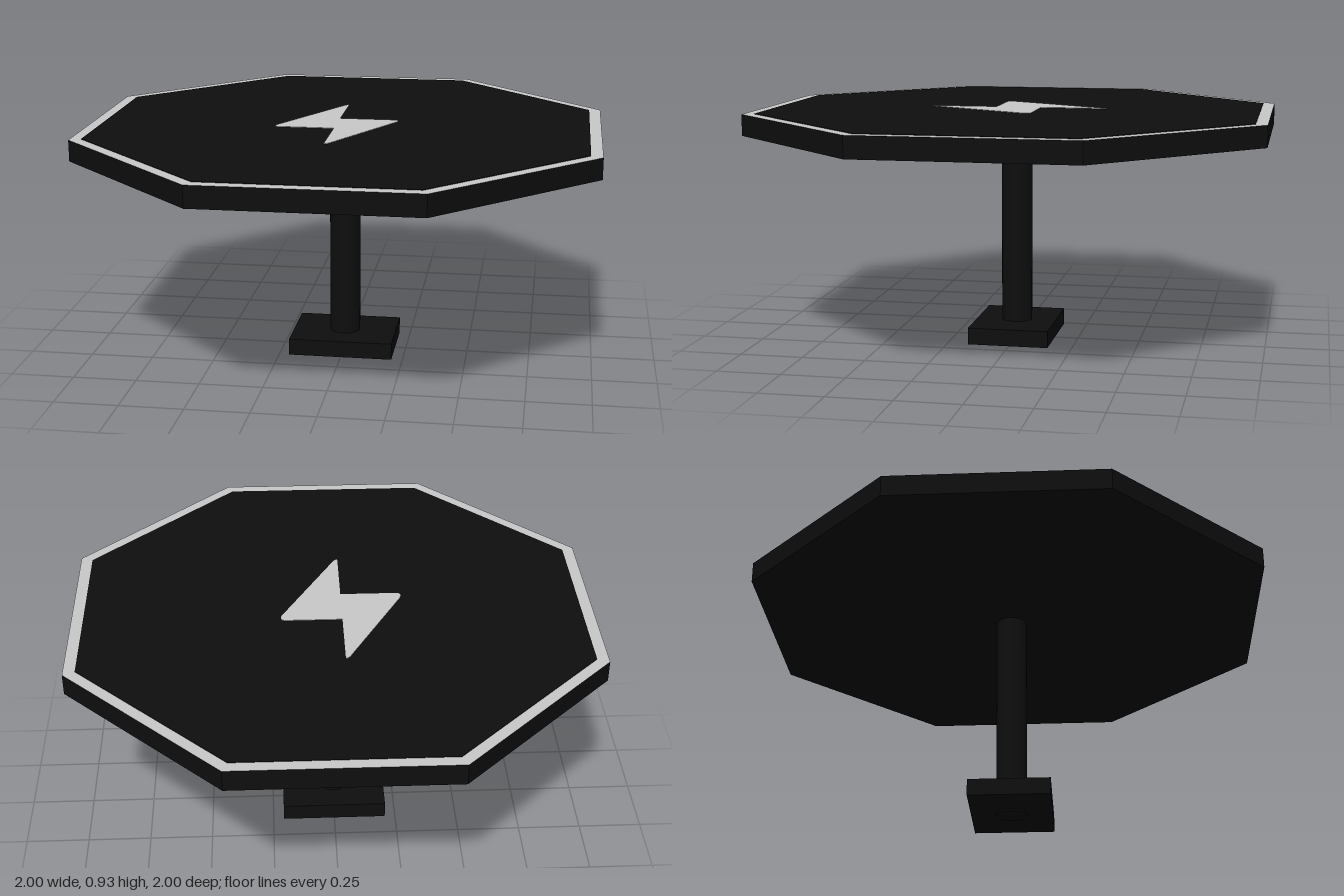
import * as THREE from 'three';

const black = new THREE.MeshStandardMaterial({ name: 'black', color: 0x0e0e0e });
const silver = new THREE.MeshStandardMaterial({ name: 'silver', color: 0xcacaca });

function part(name, geometry, material, y) {
  const mesh = new THREE.Mesh(geometry, material);
  mesh.name = name;
  mesh.position.y = y;
  return mesh;
}

// Octagonal slab with its flat sides facing the axes
function octagon(apothem, height) {
  const radius = apothem / Math.cos(Math.PI / 8);
  return new THREE.CylinderGeometry(radius, radius, height, 8).rotateY(Math.PI / 8).toNonIndexed();
}

// Bolt outline: one half drawn, then repeated turned by 180 degrees
function boltShape() {
  const cx = -0.033;
  const shape = new THREE.Shape();
  shape.moveTo(cx, 0.345);
  for (const s of [1, -1]) {
    shape.lineTo(cx, s * 0.09);
    shape.lineTo(cx + s * 0.215, s * 0.09);
    shape.quadraticCurveTo(cx + s * 0.242, s * 0.09, cx + s * 0.231, s * 0.056);
    shape.lineTo(cx + s * 0.017, s * -0.343);
    shape.quadraticCurveTo(cx, s * -0.365, cx, s * -0.345);
  }
  return shape;
}

export function createModel() {
  const table = new THREE.Group();
  table.name = 'table';

  // Foot and column
  table.add(part('basePlate', new THREE.BoxGeometry(0.415, 0.066, 0.32), black, 0.04));
  table.add(part('column', new THREE.CylinderGeometry(0.061, 0.061, 0.85, 32), black, 0.425));

  // Tabletop: black sides and underside, silver border on top
  const slab = octagon(1, 0.083);
  slab.computeVertexNormals();
  table.add(part('tabletop', slab, [black, silver, black], 0.8865));

  // Black panel inside the border
  const panel = octagon(0.955, 0.004);
  panel.computeVertexNormals();
  table.add(part('topPanel', panel, black, 0.928));

  // Silver bolt inlay
  const bolt = new THREE.ExtrudeGeometry(boltShape(), { depth: 0.002, bevelEnabled: false, curveSegments: 6 });
  bolt.rotateX(-Math.PI / 2);
  table.add(part('boltInlay', bolt, silver, 0.93));

  return table;
}
